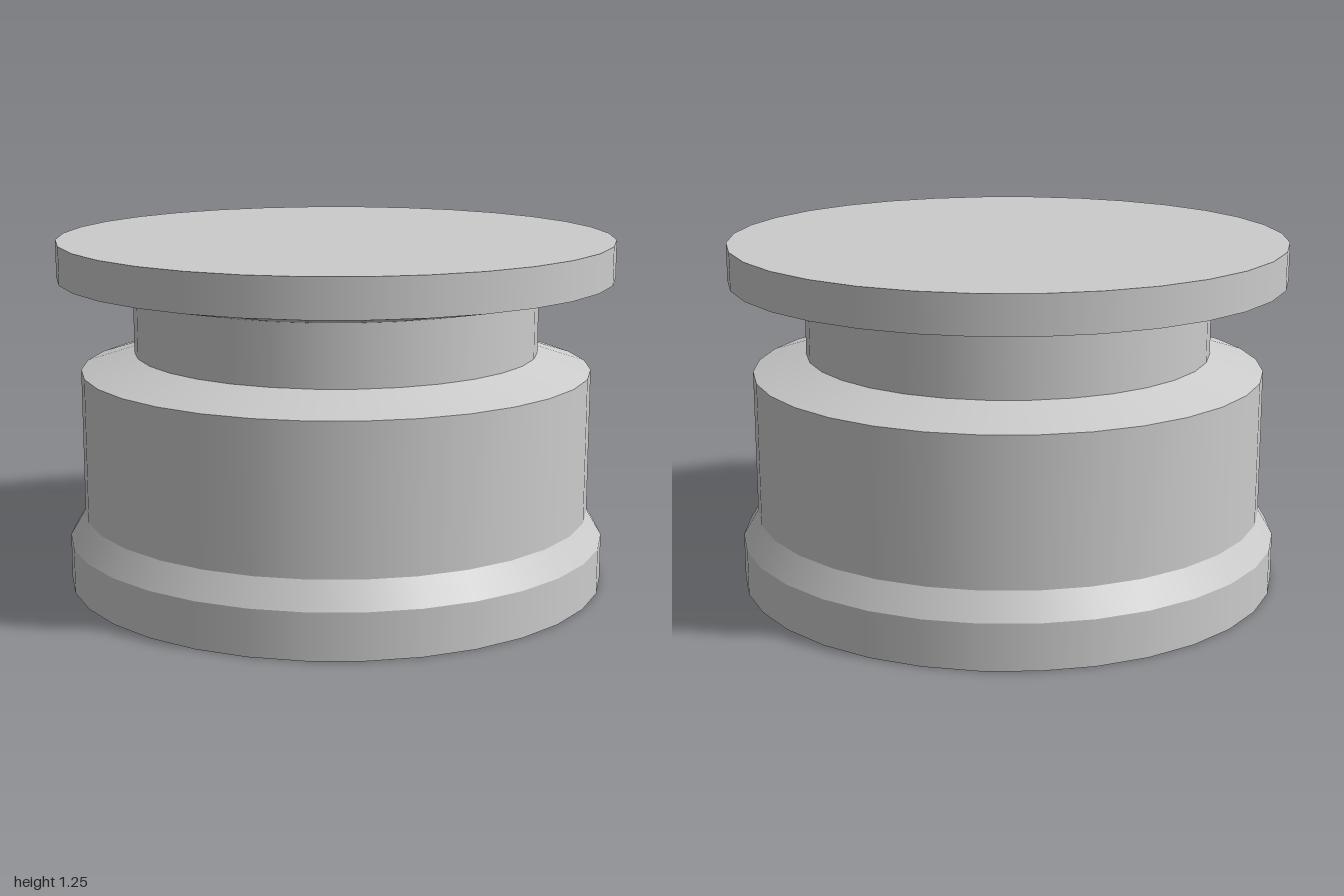
import * as THREE from 'three';

const SIDES = 32;

export function createModel() {
  const group = new THREE.Group();
  const material = new THREE.MeshStandardMaterial({ color: 0xcccccc, side: THREE.DoubleSide });

  const add = (name, geometry) => {
    const mesh = new THREE.Mesh(geometry, material);
    mesh.name = name;
    group.add(mesh);
    return mesh;
  };

  // Thin shell, open at the bottom: [band name, lower radius, lower y, upper radius, upper y].
  // Separate bands are smooth around the axis and keep crisp edges between them.
  const bands = [
    ['baseRim', 0.977, 0, 0.977, 0.165],
    ['baseBevel', 0.977, 0.165, 0.922, 0.257],
    ['body', 0.922, 0.257, 0.922, 0.78],
    ['shoulder', 0.922, 0.78, 0.73, 0.842],
    ['neck', 0.73, 0.842, 0.73, 1.06],
    ['flangeUnderside', 0.73, 1.06, 1, 1.115],
    ['flangeRim', 1, 1.115, 1, 1.25],
  ];
  for (const [name, r0, y0, r1, y1] of bands) {
    const profile = [new THREE.Vector2(r0, y0), new THREE.Vector2(r1, y1)];
    add(name, new THREE.LatheGeometry(profile, SIDES));
  }

  // Flat closing disc
  const top = add('flangeTop', new THREE.CircleGeometry(1, SIDES).rotateX(-Math.PI / 2));
  top.position.y = 1.25;

  return group;
}
